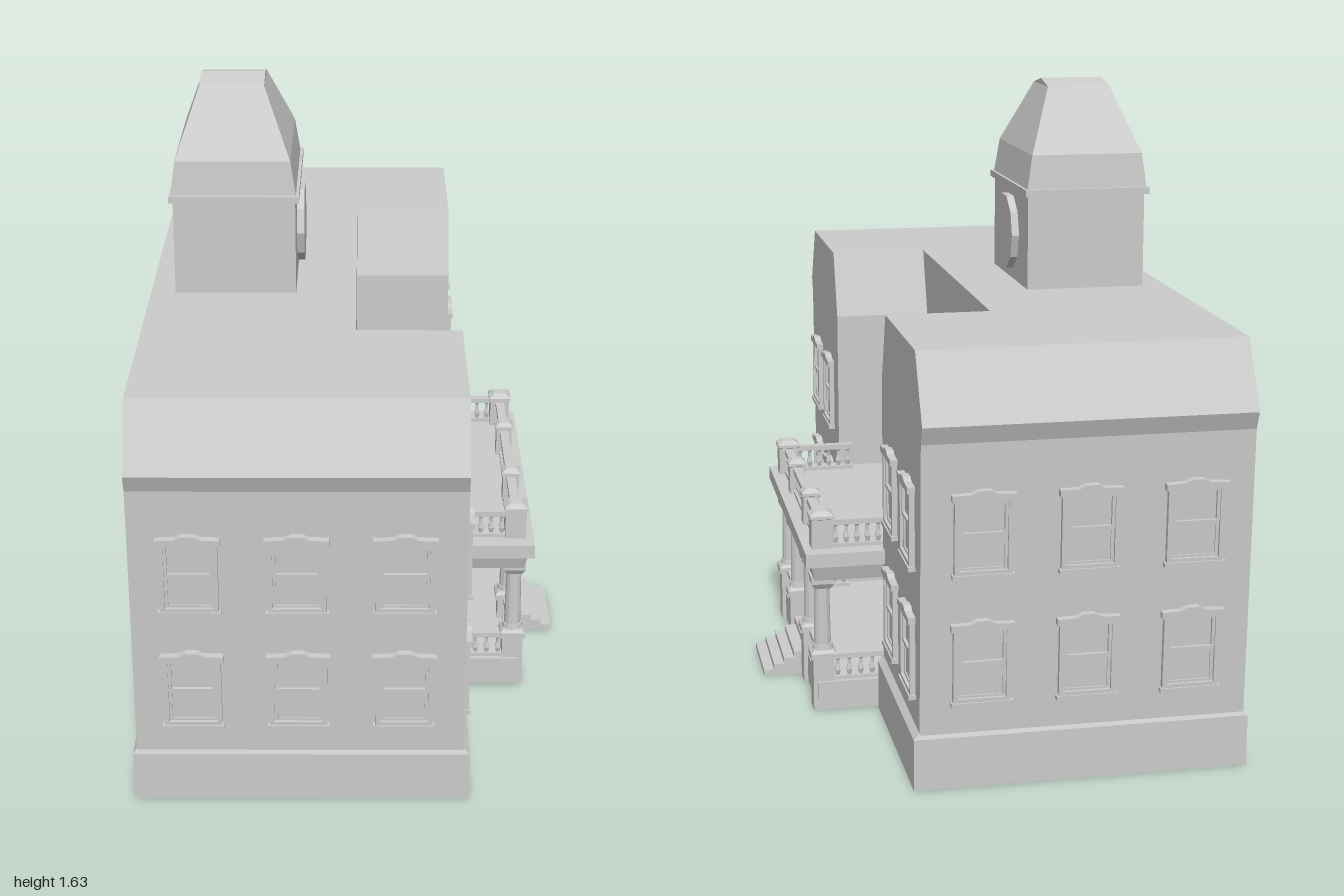
import * as THREE from 'three';

const mat = new THREE.MeshStandardMaterial({ color: 0xcccccc, flatShading: true, side: THREE.DoubleSide });

function add(parent, name, geo, x = 0, y = 0, z = 0) {
  const m = new THREE.Mesh(geo, mat);
  m.name = name;
  m.position.set(x, y, z);
  parent.add(m);
  return m;
}

// Box given by its limits
function block(parent, name, x0, x1, y0, y1, z0, z1) {
  return add(parent, name, new THREE.BoxGeometry(x1 - x0, y1 - y0, z1 - z0),
    (x0 + x1) / 2, (y0 + y1) / 2, (z0 + z1) / 2);
}

// Rectangular rings [y, x0, x1, z0, z1] joined from bottom to top
function loft(rings) {
  const pos = [];
  const loops = rings.map(([y, x0, x1, z0, z1]) => [[x0, y, z1], [x1, y, z1], [x1, y, z0], [x0, y, z0]]);
  const quad = (a, b, c, d) => pos.push(...a, ...b, ...c, ...a, ...c, ...d);
  for (let k = 0; k + 1 < loops.length; k++) {
    for (let i = 0; i < 4; i++) {
      const j = (i + 1) % 4;
      quad(loops[k][i], loops[k][j], loops[k + 1][j], loops[k + 1][i]);
    }
  }
  const t = loops[loops.length - 1], b = loops[0];
  quad(t[0], t[1], t[2], t[3]);
  quad(b[3], b[2], b[1], b[0]);
  const g = new THREE.BufferGeometry();
  g.setAttribute('position', new THREE.Float32BufferAttribute(pos, 3));
  g.computeVertexNormals();
  return g;
}

// Profile of [z, y] points extruded along x, with the underside left open
function hull(points, x0, x1) {
  const shape = new THREE.Shape(points.map(([z, y]) => new THREE.Vector2(-z, y)));
  const src = new THREE.ExtrudeGeometry(shape, { depth: x1 - x0, bevelEnabled: false });
  src.rotateY(Math.PI / 2).translate(x0, 0, 0);
  const p = src.getAttribute('position').array, kept = [];
  for (let i = 0; i < p.length; i += 9) {
    if (Math.max(p[i + 1], p[i + 4], p[i + 7]) > 1e-4) kept.push(...p.slice(i, i + 9));
  }
  const g = new THREE.BufferGeometry();
  g.setAttribute('position', new THREE.Float32BufferAttribute(kept, 3));
  g.computeVertexNormals();
  return g;
}

function rectShape(w, h, cy = 0, hole = 0) {
  const path = (C, a, b) => new C([[-a, cy - b], [a, cy - b], [a, cy + b], [-a, cy + b]].map(q => new THREE.Vector2(...q)));
  const s = path(THREE.Shape, w / 2, h / 2);
  if (hole) s.holes.push(path(THREE.Path, w / 2 - hole, h / 2 - hole));
  return s;
}
const extrude = (s, depth) => new THREE.ExtrudeGeometry(s, { depth, bevelEnabled: false, curveSegments: 8 });

// Sash window facing local +z, centred on its opening
function sashWindow(parent, x, y, z, turn, tilt = 0) {
  const g = new THREE.Group();
  g.name = 'window';
  g.rotation.order = 'YXZ';
  g.rotation.set(tilt, turn, 0);
  g.position.set(x, y, z);
  add(g, 'glass', new THREE.BoxGeometry(0.13, 0.19, 0.004));
  add(g, 'casing', extrude(rectShape(0.142, 0.2, 0, 0.012), 0.014));
  add(g, 'lowerSash', extrude(rectShape(0.118, 0.09, -0.045, 0.008), 0.006));
  add(g, 'upperSash', extrude(rectShape(0.118, 0.09, 0.043, 0.008), 0.01));
  block(g, 'sill', -0.076, 0.076, -0.108, -0.097, 0, 0.018);
  const head = new THREE.Shape([[-0.078, 0.086], [0.078, 0.086], [0.078, 0.102], [0.03, 0.104], [0.015, 0.112],
    [-0.015, 0.112], [-0.03, 0.104], [-0.078, 0.102]].map(q => new THREE.Vector2(...q)));
  add(g, 'head', extrude(head, 0.019));
  parent.add(g);
}

const balusterGeo = h => new THREE.LatheGeometry(
  [[0.005, 0], [0.009, 0.3], [0.005, 0.6], [0.005, 0.85], [0.009, 1]].map(([r, t]) => new THREE.Vector2(r, t * h)), 6);

// Railing between two [x, z] points
function balustrade(parent, [xa, za], [xb, zb], y, h, n) {
  const g = new THREE.Group();
  g.name = 'balustrade';
  const t = 0.012, geo = balusterGeo(h - 0.022);
  for (const [y0, y1] of [[0, 0.01], [h - 0.014, h]]) {
    const ax = xa === xb ? t : 0, az = xa === xb ? 0 : t;
    block(g, 'rail', Math.min(xa, xb) - ax, Math.max(xa, xb) + ax, y + y0, y + y1, Math.min(za, zb) - az, Math.max(za, zb) + az);
  }
  for (let i = 0; i < n; i++) {
    const f = (i + 0.5) / n;
    add(g, 'baluster', geo, xa + (xb - xa) * f, y + 0.009, za + (zb - za) * f);
  }
  parent.add(g);
}

function arch(C, r, y0, y1) {
  const s = new C();
  s.moveTo(-r, y0);
  s.lineTo(r, y0);
  s.lineTo(r, y1);
  s.absarc(0, y1, r, 0, Math.PI, false);
  s.lineTo(-r, y0);
  return s;
}

export function createModel() {
  const model = new THREE.Group();
  model.name = 'townHall';
  const E = Math.PI / 2, ROWS = [0.32, 0.645];

  // Recessed centre block
  add(model, 'centreBlock', hull([[-0.41, 0], [0.41, 0], [0.415, 0.9], [0.48, 1.08], [-0.48, 1.08], [-0.415, 0.9]], -0.545, 0));

  // Wings, flaring outwards to the eaves, with plinths and windows
  for (const s of [1, -1]) {
    const wing = new THREE.Group();
    wing.name = s > 0 ? 'leftWing' : 'rightWing';
    const profile = [[0.41, 0], [0.945, 0], [0.982, 0.87], [1, 0.915], [0.91, 1.08], [0.48, 1.08], [0.415, 0.9]];
    add(wing, 'wingShell', hull(profile.map(([z, y]) => [s * z, y]), -0.545, 0.27));
    const span = (a, b) => (s > 0 ? [a, b] : [-b, -a]);
    const plinth = (x0, x1, a, b, ox0, ox1, ob) => add(wing, 'plinth', loft([
      [0, x0, x1, ...span(a, b)], [0.13, x0, x1, ...span(a, b)], [0.145, x0 + ox0, x1 - ox1, ...span(a, b - ob)]]));
    plinth(-0.555, 0.285, 0.935, 0.956, 0.01, 0.015, 0.008);
    plinth(0.26, 0.285, 0.41, 0.945, 0, 0.015, 0);
    plinth(-0.555, -0.535, 0, 0.945, 0.01, 0, 0);
    for (const y of ROWS) {
      for (const x of [-0.4, -0.14, 0.12]) sashWindow(wing, x, y, s * (0.945 + 0.0425 * y), s > 0 ? 0 : Math.PI, 0.0425);
      for (const z of [0.575, 0.825]) sashWindow(wing, 0.27, y, s * z, E);
      sashWindow(wing, 0, y, s * 0.27, E);
    }
    model.add(wing);
  }

  // Rear windows
  for (const z of [-0.72, -0.205, 0.26, 0.685]) {
    for (const y of [0.3, 0.665]) sashWindow(model, -0.545, y, z, -E);
  }

  // Clock tower
  const tower = new THREE.Group();
  tower.name = 'tower';
  block(tower, 'towerWalls', -0.48, -0.16, 1.07, 1.34, -0.21, 0.21);
  block(tower, 'towerCornice', -0.49, -0.15, 1.332, 1.35, -0.225, 0.225);
  add(tower, 'towerRoof', loft([[1.35, -0.485, -0.158, -0.212, 0.212], [1.44, -0.473, -0.172, -0.204, 0.204],
    [1.61, -0.412, -0.242, -0.083, 0.083], [1.627, -0.412, -0.242, 0, 0]]));
  const dial = new THREE.CylinderGeometry(0.105, 0.105, 0.022, 10).rotateZ(-E);
  add(tower, 'clockFace', dial, -0.151, 1.21, 0);
  model.add(tower);

  // Front door
  const door = new THREE.Group();
  door.name = 'frontDoor';
  door.rotation.y = E;
  door.position.set(0, 0.205, 0.01);
  add(door, 'doorLeaf', new THREE.BoxGeometry(0.14, 0.25, 0.008));
  add(door, 'doorFrame', extrude(rectShape(0.16, 0.26, 0, 0.012), 0.015));
  add(door, 'doorPane', extrude(rectShape(0.11, 0.1, 0.055, 0.008), 0.01));
  add(door, 'doorPanel', extrude(rectShape(0.11, 0.09, -0.06, 0.008), 0.008));
  block(door, 'handle', 0.052, 0.06, -0.02, 0.03, 0, 0.022);
  model.add(door);

  // Arched balcony door
  const archDoor = new THREE.Group();
  archDoor.name = 'archedDoor';
  archDoor.rotation.y = E;
  const frame = arch(THREE.Shape, 0.09, 0.44, 0.65);
  frame.holes.push(arch(THREE.Path, 0.074, 0.455, 0.65));
  add(archDoor, 'archFrame', extrude(frame, 0.014));
  add(archDoor, 'archGlass', extrude(arch(THREE.Shape, 0.075, 0.44, 0.65), 0.004));
  block(archDoor, 'meetingStile', -0.005, 0.005, 0.45, 0.65, 0, 0.009);
  block(archDoor, 'transom', -0.075, 0.075, 0.645, 0.655, 0, 0.009);
  block(archDoor, 'keystone', -0.01, 0.01, 0.725, 0.75, 0, 0.018);
  model.add(archDoor);

  // Porch floor, steps and balcony slab
  const porch = new THREE.Group();
  porch.name = 'porch';
  block(porch, 'porchFloor', 0, 0.445, 0.004, 0.08, -0.405, 0.405);
  for (let i = 0; i < 4; i++) block(porch, 'step', 0.44, 0.56 - i * 0.028, i * 0.016, (i + 1) * 0.016, -0.12, 0.105);
  add(porch, 'balconySlab', loft([[0.365, 0.001, 0.452, -0.412, 0.412], [0.405, 0.001, 0.46, -0.425, 0.425],
    [0.41, 0.001, 0.477, -0.443, 0.443], [0.447, 0.001, 0.477, -0.443, 0.443]]));

  // Piers, columns and balcony posts
  const around = (x, z, y, r) => [y, x - r, x + r, z - r, z + r];
  for (const z of [-0.37, -0.155, 0.155, 0.37]) {
    const x = 0.428;
    add(porch, 'pier', loft([[0, 0.028], [0.14, 0.028], [0.142, 0.034], [0.158, 0.034], [0.166, 0.026]].map(([y, r]) => around(x, z, y, r))));
    add(porch, 'column', new THREE.CylinderGeometry(0.02, 0.023, 0.18, 12), x, 0.25, z);
    add(porch, 'columnBase', new THREE.CylinderGeometry(0.026, 0.028, 0.014, 12), x, 0.172, z);
    add(porch, 'capital', loft([[0.335, 0.021], [0.35, 0.03], [0.367, 0.03]].map(([y, r]) => around(x, z, y, r))));
    const r = Math.abs(z) > 0.3 ? 0.028 : 0.022;
    add(porch, 'balconyPost', loft([[0.446, r], [0.525, r], [0.527, r + 0.004], [0.535, r + 0.004], [0.546, r * 0.6]]
      .map(([y, q]) => around(x, z, y, q))));
  }

  // Railings on both levels
  for (const s of [1, -1]) {
    balustrade(porch, [0.428, s * 0.18], [0.428, s * 0.345], 0.08, 0.072, 5);
    balustrade(porch, [0.25, s * 0.38], [0.405, s * 0.38], 0.08, 0.072, 5);
    balustrade(porch, [0.428, s * 0.175], [0.428, s * 0.345], 0.447, 0.075, 6);
    balustrade(porch, [0.235, s * 0.38], [0.405, s * 0.38], 0.447, 0.075, 6);
  }
  balustrade(porch, [0.428, -0.135], [0.428, 0.135], 0.447, 0.075, 10);
  model.add(porch);

  return model;
}
